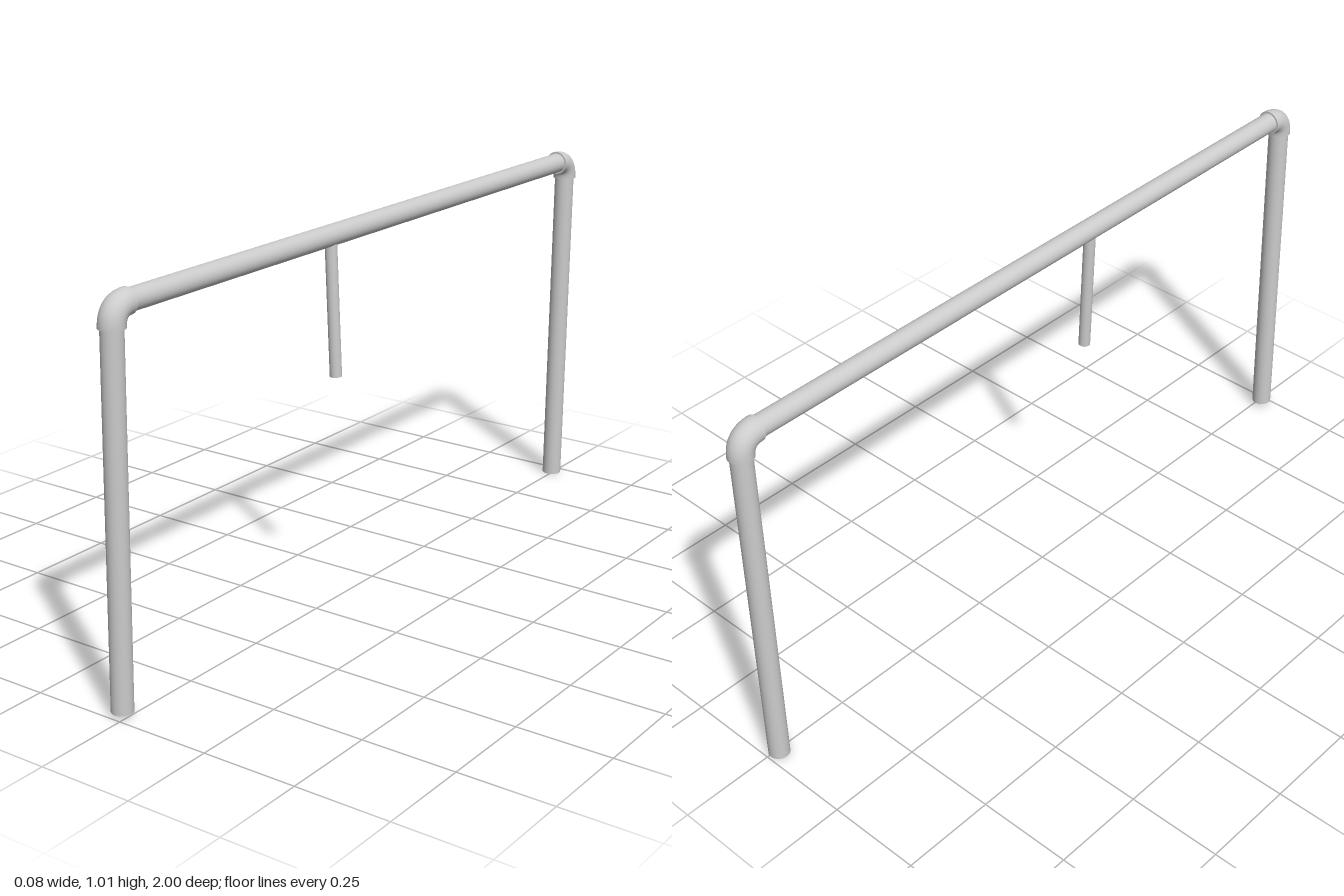
import * as THREE from 'three';

const material = new THREE.MeshStandardMaterial({ color: 0xcccccc, side: THREE.DoubleSide });
const UP = new THREE.Vector3(0, 1, 0);
const FORWARD = new THREE.Vector3(0, 0, 1);

function addMesh(group, name, geometry) {
  const mesh = new THREE.Mesh(geometry, material);
  mesh.name = name;
  group.add(mesh);
  return mesh;
}

// Straight open pipe between two points
function addPipe(group, name, from, to, radius) {
  const dir = to.clone().sub(from);
  const mesh = addMesh(group, name, new THREE.CylinderGeometry(radius, radius, dir.length(), 32, 1, true));
  mesh.position.copy(from).add(to).multiplyScalar(0.5);
  mesh.quaternion.setFromUnitVectors(UP, dir.normalize());
}

// Bent fitting at a corner, with a flat lip where each pipe enters it
function addElbow(group, name, corner, targets, reach, radius, pipeRadius) {
  const elbow = new THREE.Group();
  elbow.name = name;
  const dirs = targets.map((t) => t.clone().sub(corner).normalize());
  const ends = dirs.map((d) => corner.clone().addScaledVector(d, reach));
  const bend = new THREE.QuadraticBezierCurve3(ends[0], corner, ends[1]);
  addMesh(elbow, 'elbowBend', new THREE.TubeGeometry(bend, 16, radius, 32));
  ends.forEach((end, i) => {
    const lip = addMesh(elbow, 'elbowLip', new THREE.RingGeometry(pipeRadius, radius, 32));
    lip.position.copy(end);
    lip.quaternion.setFromUnitVectors(FORWARD, dirs[i]);
  });
  group.add(elbow);
}

export function createModel() {
  const group = new THREE.Group();
  group.name = 'pipeFrame';
  const R = 0.027, ELBOW_R = 0.032, REACH = 0.05;

  // Slightly uneven frame corners and feet
  const frontFoot = new THREE.Vector3(-0.013, 0.013, 0.975);
  const frontCorner = new THREE.Vector3(0.001, 0.978, 0.968);
  const backCorner = new THREE.Vector3(0.005, 0.968, -0.968);
  const backFoot = new THREE.Vector3(-0.007, 0, -0.967);

  // Each pipe stops at the mouth of its elbow
  const mouth = (corner, target) =>
    corner.clone().addScaledVector(target.clone().sub(corner).normalize(), REACH * 0.9);

  addPipe(group, 'frontLeg', frontFoot, mouth(frontCorner, frontFoot), R);
  addPipe(group, 'backLeg', backFoot, mouth(backCorner, backFoot), R);
  addPipe(group, 'topRail', mouth(frontCorner, backCorner), mouth(backCorner, frontCorner), R);
  addElbow(group, 'frontElbow', frontCorner, [frontFoot, backCorner], REACH, ELBOW_R, R);
  addElbow(group, 'backElbow', backCorner, [backFoot, frontCorner], REACH, ELBOW_R, R);

  // Short thin pipe hanging from the rail
  addPipe(group, 'hangingPipe', new THREE.Vector3(0.018, 0.615, 0.183), new THREE.Vector3(0.005, 0.965, 0.183), 0.0155);

  return group;
}
